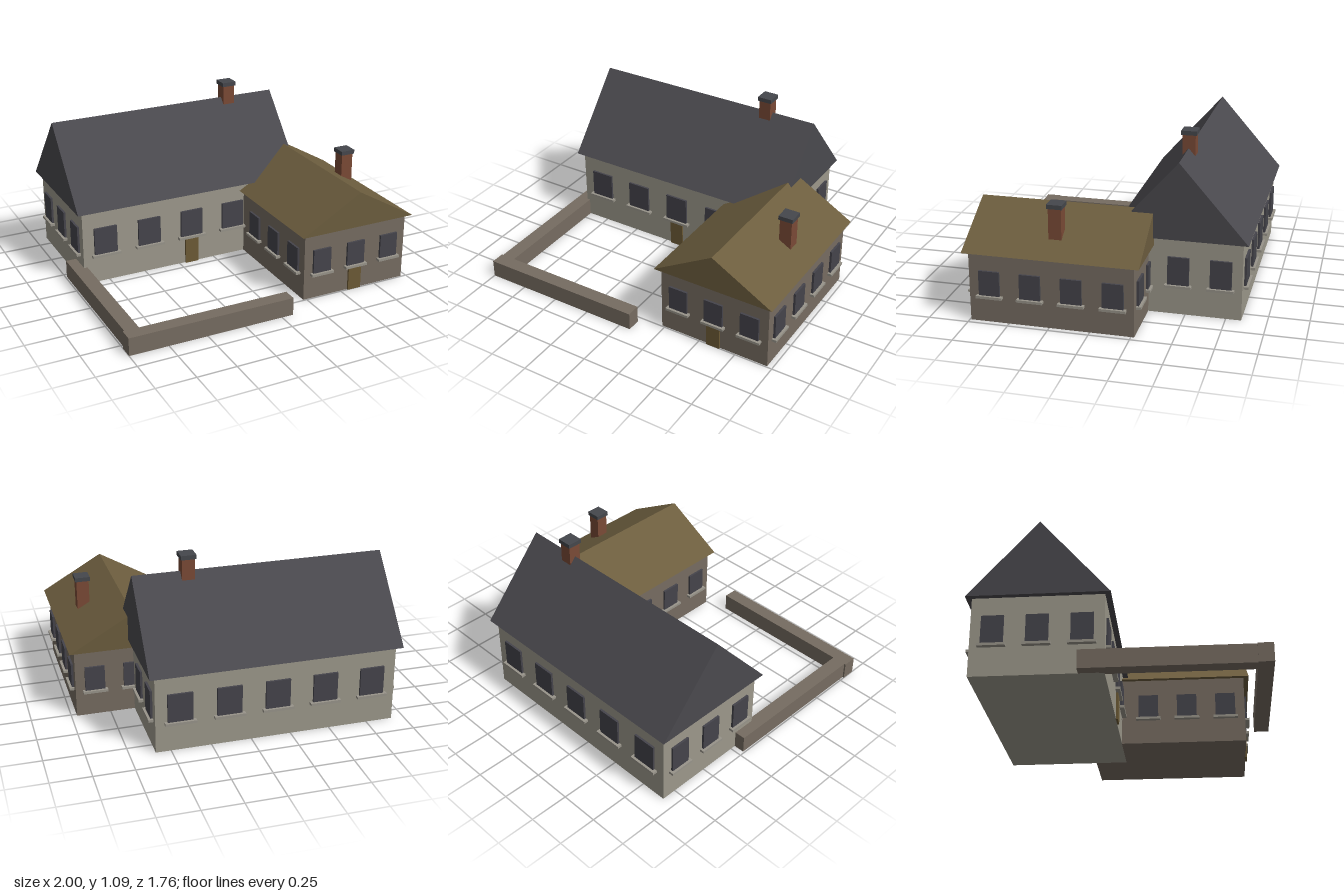
import * as THREE from 'three';

const mat = (name, color) => {
  const m = new THREE.MeshStandardMaterial({ color });
  m.name = name;
  return m;
};

export function createModel() {
  const plaster = mat('plaster', 0x9c988b);
  const stone = mat('stone', 0x766c61);
  const slate = mat('slate', 0x4a494e);
  const thatch = mat('tanRoof', 0x6c5d3e);
  const glass = mat('windowGlass', 0x45444b);
  const sillStone = mat('sillStone', 0x98948a);
  const brick = mat('brick', 0x7a4a36);
  const wood = mat('doorWood', 0x6c5a36);
  const capSlate = mat('chimneyCap', 0x45474c);

  const model = new THREE.Group();
  model.name = 'farmhouse';

  // Box placed by its minimum and maximum corners
  function box(parent, name, material, [x0, y0, z0], [x1, y1, z1]) {
    const mesh = new THREE.Mesh(new THREE.BoxGeometry(x1 - x0, y1 - y0, z1 - z0), material);
    mesh.position.set((x0 + x1) / 2, (y0 + y1) / 2, (z0 + z1) / 2);
    mesh.name = name;
    parent.add(mesh);
    return mesh;
  }

  // Solid gable roof, ridge along its local z, centred on the origin
  function gableRoof(name, material, span, rise, length) {
    const shape = new THREE.Shape();
    shape.moveTo(-span / 2, 0);
    shape.lineTo(span / 2, 0);
    shape.lineTo(0, rise);
    shape.closePath();
    const geo = new THREE.ExtrudeGeometry(shape, { depth: length, bevelEnabled: false });
    geo.translate(0, 0, -length / 2);
    const mesh = new THREE.Mesh(geo, material);
    mesh.name = name;
    return mesh;
  }

  // Row of evenly spaced windows with sills on one wall; local +z points outwards
  function windowRow(parent, name, count, wallLength, y0, y1, x, z, turn) {
    const row = new THREE.Group();
    row.name = name;
    row.position.set(x, 0, z);
    row.rotation.y = turn;
    const step = wallLength / count;
    const half = step * 0.255;
    for (let i = 0; i < count; i++) {
      const c = (i - (count - 1) / 2) * step;
      box(row, 'window', glass, [c - half, y0, -0.005], [c + half, y1, 0.014]);
      box(row, 'windowSill', sillStone, [c - half * 1.25, y0 - 0.012, -0.005], [c + half * 1.25, y0 + 0.004, 0.03]);
    }
    parent.add(row);
  }

  // Walls with windows on all four sides
  function building(name, material, x0, x1, z0, z1, height, nx, nz, w0, w1) {
    const g = new THREE.Group();
    g.name = name;
    box(g, 'walls', material, [x0, 0, z0], [x1, height, z1]);
    const cx = (x0 + x1) / 2, cz = (z0 + z1) / 2;
    windowRow(g, 'frontWindows', nx, x1 - x0, w0, w1, cx, z1, 0);
    windowRow(g, 'backWindows', nx, x1 - x0, w0, w1, cx, z0, Math.PI);
    windowRow(g, 'leftWindows', nz, z1 - z0, w0, w1, x1, cz, Math.PI / 2);
    windowRow(g, 'rightWindows', nz, z1 - z0, w0, w1, x0, cz, -Math.PI / 2);
    model.add(g);
    return g;
  }

  function chimney(name, x, z, y0, y1) {
    const g = new THREE.Group();
    g.name = name;
    const b = 0.04, c = 0.048;
    box(g, 'chimneyStack', brick, [x - b, y0, z - b], [x + b, y1 - 0.027, z + b]);
    box(g, 'chimneyTop', capSlate, [x - c, y1 - 0.027, z - c], [x + c, y1, z + c]);
    model.add(g);
  }

  // Main house
  const house = building('mainHouse', plaster, -0.92, 0.594, -0.845, -0.065, 0.496, 5, 3, 0.192, 0.376);
  const houseRoof = gableRoof('mainRoof', slate, 0.85, 0.484, 1.584);
  houseRoof.rotation.y = Math.PI / 2;
  houseRoof.position.set(-0.163, 0.496, -0.455);
  house.add(houseRoof);
  box(house, 'mainDoor', wood, [-0.209, 0, -0.07], [-0.116, 0.185, -0.053]);

  // Front wing
  const wing = building('wing', stone, 0.229, 0.965, -0.27, 0.742, 0.442, 3, 4, 0.17, 0.331);
  const wingRoof = gableRoof('wingRoof', thatch, 0.8, 0.23, 1.08);
  wingRoof.position.set(0.597, 0.442, 0.236);
  wing.add(wingRoof);
  box(wing, 'wingDoor', wood, [0.551, 0, 0.737], [0.643, 0.162, 0.754]);

  // Chimneys
  chimney('mainChimney', 0.292, -0.457, 0.88, 1.09);
  chimney('wingChimney', 0.816, 0.236, 0.48, 0.742);

  // Low yard wall
  const yard = new THREE.Group();
  yard.name = 'yardWall';
  box(yard, 'frontYardWall', stone, [-1, 0, 0.788], [0.077, 0.115, 0.878]);
  box(yard, 'sideYardWall', stone, [-0.99, 0, -0.215], [-0.898, 0.115, 0.788]);
  model.add(yard);

  return model;
}
